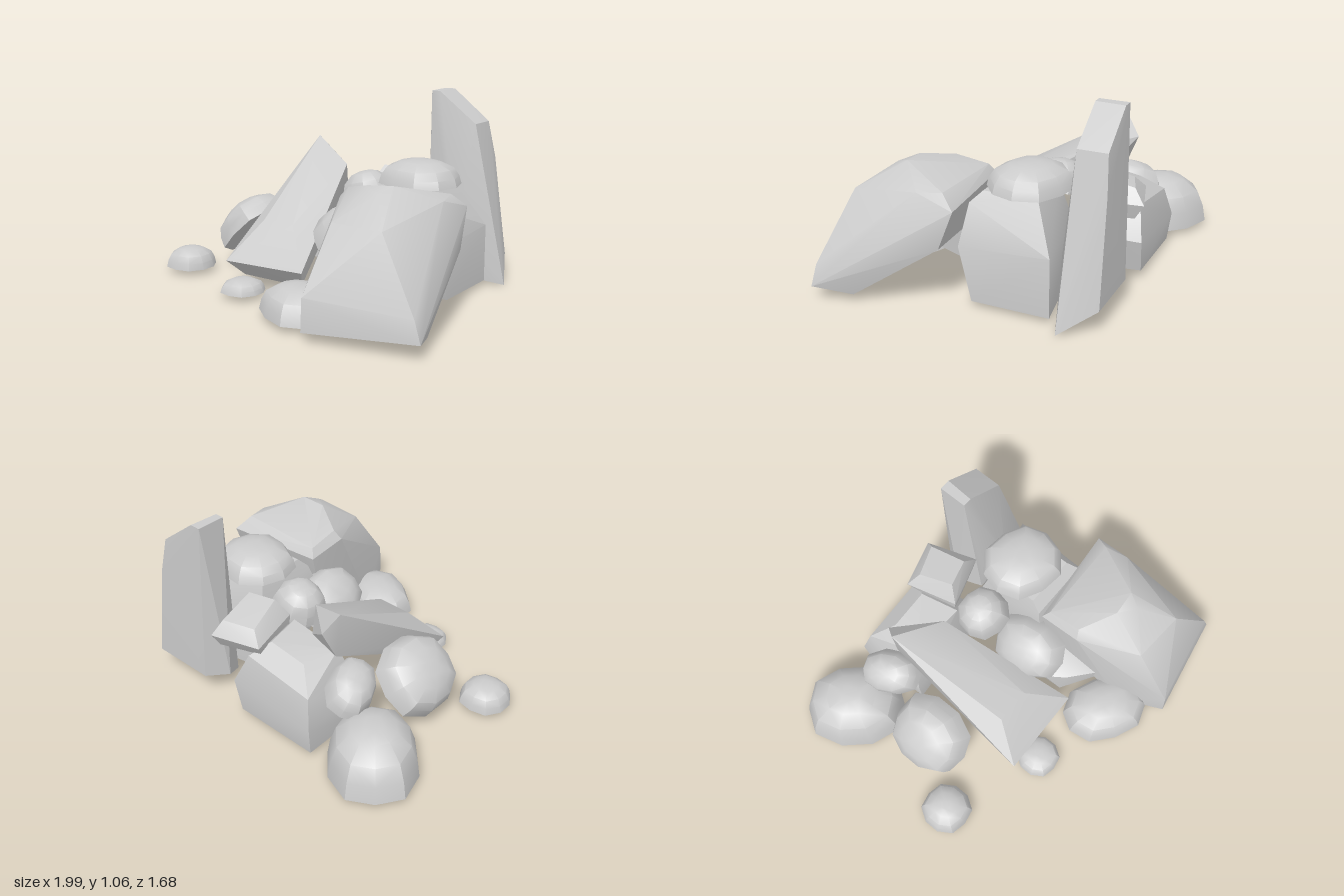
import * as THREE from 'three';
import { ConvexGeometry } from 'three/addons/geometries/ConvexGeometry.js';
import { toCreasedNormals } from 'three/addons/utils/BufferGeometryUtils.js';

const material = new THREE.MeshStandardMaterial({ color: 0xcccccc });

// Angular rock: the hull of a few corner points, soft on shallow edges
function rock(name, corners, crease = 0.5) {
  const points = corners.map((c) => (c.isVector3 ? c : new THREE.Vector3(...c)));
  const mesh = new THREE.Mesh(toCreasedNormals(new ConvexGeometry(points), crease), material);
  mesh.name = name;
  return mesh;
}

// Worn boulder: wide flat base, short side band, rounded cap; yawed, then tipped about z
function boulder(name, [x, y, z], [rx, h, rz], yaw = 0, tip = 0) {
  const rings = [[1, 0], [0.94, 0.35], [0.81, 0.68], [0.5, 0.93], [0.2, 1]];
  const sides = 10;
  const turn = new THREE.Euler(0, yaw, tip, 'ZYX');
  const points = [];
  rings.forEach(([r, t]) => {
    for (let i = 0; i < sides; i++) {
      const a = ((i + 0.5) / sides) * Math.PI * 2;
      // slightly squared outline
      const k = r * (1.01 - 0.04 * Math.cos(4 * a));
      points.push(new THREE.Vector3(Math.cos(a) * rx * k, h * t, Math.sin(a) * rz * k)
        .applyEuler(turn).add(new THREE.Vector3(x, y, z)));
    }
  });
  return rock(name, points, 0.55);
}

export function createModel() {
  const group = new THREE.Group();
  group.name = 'rockPile';

  // Large slabs
  group.add(
    rock('frontLeaningSlab', [
      [0.41, 0.06, 0.83], [0.41, 0.23, 0.82], [1, 0.09, 0.72], [0.96, 0.2, 0.71],
      [0.31, 0.01, 0.58], [0.92, 0.05, 0.52],
      [0.42, 0.55, 0.59], [0.72, 0.55, 0.61], [0.58, 0.68, 0.43], [0.62, 0.71, 0.35],
      [0.48, 0.7, 0.36], [0.81, 0.63, 0.19], [0.25, 0.6, 0.27], [0.29, 0.65, 0.25],
      [0.28, 0.62, 0.06], [0.25, 0.57, 0.03], [0.83, 0.57, -0.02], [0.78, 0.64, 0.06],
      [0.26, 0.36, 0.08], [0.84, 0.36, 0.06],
    ]),
    rock('middleLeaningSlab', [
      [-0.43, 0.17, 0.39], [0.08, 0.18, 0.38], [-0.37, 0.08, 0.3], [0.02, 0.08, 0.3],
      [-0.41, 0.76, -0.47], [-0.13, 0.63, -0.35], [-0.36, 0.66, -0.55], [-0.17, 0.5, -0.42],
      [-0.39, 0.5, -0.48], [-0.31, 0.38, 0.2], [-0.11, 0.38, 0.2],
    ]),
    rock('tallPillar', [
      [0.31, 1.07, -0.56], [0.31, 1.07, -0.72], [0.37, 1.07, -0.72], [0.36, 1.07, -0.56],
      [0.59, 0.9, -0.56], [0.59, 0.9, -0.72], [0.63, 0.7, -0.735],
      [0.53, 0.3, -0.47], [0.36, 0.3, -0.5], [0.34, 0.06, -0.5], [0.53, 0.04, -0.49],
      [0.8, 0.01, -0.55], [0.71, 0.14, -0.74], [0.34, 0.14, -0.74], [0.27, 0.12, -0.62],
    ]),
  );

  // Blocks that carry the upper boulders
  group.add(
    rock('rightBaseBlock', [
      [0.71, 0.04, -0.05], [0.71, 0.04, -0.48], [0.26, 0.04, -0.05], [0.26, 0.04, -0.4],
      [0.71, 0.33, 0.02], [0.71, 0.36, -0.48], [0.2, 0.3, 0.07], [0.22, 0.36, -0.4],
      [0.62, 0.54, 0], [0.26, 0.54, 0],
      [0.58, 0.6, -0.06], [0.58, 0.6, -0.36], [0.28, 0.6, -0.06], [0.28, 0.6, -0.34],
    ]),
    rock('backBaseBlock', [
      [-0.43, 0.04, -0.72], [0.06, 0.06, -0.73], [-0.42, 0.04, -0.32], [0.1, 0.05, -0.36],
      [-0.44, 0.2, -0.74], [0.1, 0.24, -0.74], [0.15, 0.26, -0.42], [-0.43, 0.22, -0.32],
      [-0.4, 0.36, -0.7], [0.02, 0.42, -0.7], [-0.28, 0.46, -0.6], [-0.05, 0.49, -0.6],
      [0, 0.49, -0.38], [-0.33, 0.47, -0.4],
    ]),
    rock('backUpperBlock', [
      [-0.03, 0.43, -0.66], [0.2, 0.42, -0.73], [0.27, 0.42, -0.5], [0.01, 0.4, -0.42],
      [-0.06, 0.5, -0.7], [0.21, 0.5, -0.78], [0.3, 0.52, -0.49], [0.01, 0.53, -0.4],
      [0.01, 0.57, -0.66], [0.18, 0.58, -0.72], [0.21, 0.63, -0.5], [0.06, 0.63, -0.46],
    ]),
    rock('innerBlock', [
      [0.12, 0.05, 0.05], [0.13, 0.06, 0.28], [0.3, 0.1, 0.4], [0.36, 0.05, 0.08],
      [0.08, 0.24, 0.2], [0.15, 0.24, 0.3], [0.3, 0.22, 0.42], [0.36, 0.3, 0.2],
      [0.16, 0.33, 0.08], [0.3, 0.35, 0.08],
    ]),
  );

  // Rounded boulders: position, half-width / height / half-depth, yaw, tip
  group.add(
    boulder('topBoulder', [0.42, 0.6, -0.25], [0.23, 0.13, 0.21], -0.3),
    boulder('upperSmallBoulder', [0.09, 0.46, -0.26], [0.15, 0.17, 0.145], -0.2, 0.25),
    boulder('middleTippedBoulder', [0.15, 0.33, 0.04], [0.18, 0.16, 0.22], 0.15, 0.75),
    boulder('frontGroundBoulder', [0.2, 0.04, 0.56], [0.25, 0.15, 0.19], -0.55),
    boulder('smallFrontStone', [-0.27, 0.04, 0.44], [0.12, 0.07, 0.12]),
    boulder('smallLeftStone', [-0.84, 0.04, 0.23], [0.14, 0.11, 0.14]),
    boulder('leftTippedBoulder', [-0.58, 0.24, -0.08], [0.22, 0.17, 0.24], 0, 0.78),
    boulder('backLeftBoulder', [-0.72, 0.04, -0.57], [0.24, 0.27, 0.29], 0.75),
    boulder('backLeftSmallBoulder', [-0.47, 0.32, -0.47], [0.13, 0.14, 0.18], 0.5, 0.5),
  );
  return group;
}
